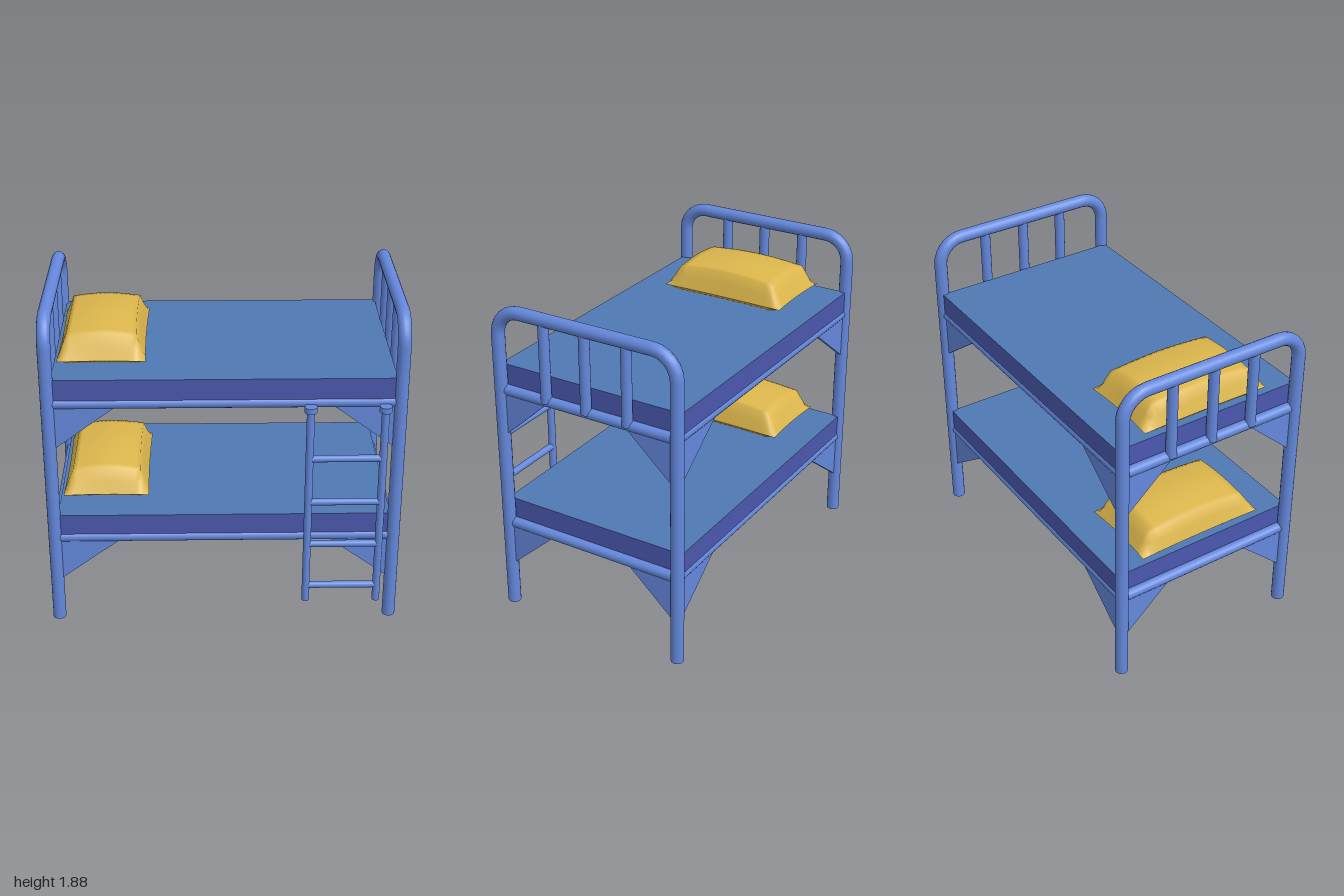
import * as THREE from 'three';
import { mergeGeometries } from 'three/addons/utils/BufferGeometryUtils.js';

const mat = (name, color, side = THREE.FrontSide) => {
  const m = new THREE.MeshStandardMaterial({ color, side });
  m.name = name;
  return m;
};

export function createModel() {
  const steel = mat('frameBlue', 0x6488dc);
  const cover = mat('mattressTopBlue', 0x5078b4);
  const border = mat('mattressSideIndigo', 0x4a58ae);
  const cotton = mat('pillowYellow', 0xdcb64c);

  const root = new THREE.Group();
  root.name = 'bunkBed';
  const V = (x, y, z) => new THREE.Vector3(x, y, z);
  const add = (parent, name, geometry, material) => {
    const mesh = new THREE.Mesh(geometry, material);
    mesh.name = name;
    parent.add(mesh);
    return mesh;
  };
  const group = (name) => {
    const g = new THREE.Group();
    g.name = name;
    root.add(g);
    return g;
  };
  // Round bar between two points
  const rod = (parent, name, a, b, r) => {
    const dir = b.clone().sub(a);
    const mesh = add(parent, name, new THREE.CylinderGeometry(r, r, dir.length(), 16), steel);
    mesh.position.copy(a).add(b).multiplyScalar(0.5);
    mesh.quaternion.setFromUnitVectors(V(0, 1, 0), dir.normalize());
    return mesh;
  };

  const X = 0.96, ZF = 0.537, ZB = -0.583, POST = 0.0375;
  const TOP = 1.845, BEND = 0.145;
  const decks = [0.533, 1.37];

  // Bent end frames with upright bars
  for (const sx of [-1, 1]) {
    const end = group(sx < 0 ? 'headFrame' : 'footFrame');
    const x = sx * X;
    for (const [z, s] of [[ZF, 1], [ZB, -1]]) {
      rod(end, 'post', V(x, 0, z), V(x, TOP - BEND, z), POST);
      const bend = add(end, 'cornerBend',
        new THREE.TorusGeometry(BEND, POST, 16, 6, Math.PI / 2).rotateY(-s * Math.PI / 2), steel);
      bend.position.set(x, TOP - BEND, z - s * BEND);
    }
    rod(end, 'topBar', V(x, TOP, ZF - BEND), V(x, TOP, ZB + BEND), POST);
    for (const z of [0.235, -0.022, -0.28]) {
      rod(end, 'uprightBar', V(x, decks[1], z), V(x, TOP, z), 0.03);
    }
  }

  // Triangular corner plate running along x or z
  const gusset = (parent, x, y, z, run, alongZ) => {
    const shape = new THREE.Shape([
      new THREE.Vector2(0, 0), new THREE.Vector2(run, 0), new THREE.Vector2(0, -0.29)]);
    const g = new THREE.ExtrudeGeometry(shape, { depth: 0.02, bevelEnabled: false });
    g.translate(0, 0, -0.01);
    if (alongZ) g.rotateY(-Math.PI / 2);
    add(parent, 'gusset', g, steel).position.set(x, y, z);
  };

  // Pillow height profile: steep rim, gently domed middle
  const puff = (u) => {
    const t = 1 - Math.abs(u);
    return t < 0.2 ? 0.85 * t / 0.2 : 0.85 + 0.15 * Math.sin(Math.PI / 2 * (t - 0.2) / 0.8);
  };
  const pillowSheet = (upper) => {
    const g = new THREE.PlaneGeometry(2, 2, 20, 20).rotateX(upper ? -Math.PI / 2 : Math.PI / 2);
    const p = g.attributes.position;
    for (let i = 0; i < p.count; i++) {
      const u = p.getX(i), v = p.getZ(i);
      const h = puff(u) * puff(v);
      const y = upper ? 0.025 + 0.16 * h : 0.025 * (1 - Math.min(1, h * 3));
      p.setXYZ(i, 0.245 * u * (1 - 0.03 * (1 - v * v)), y, 0.39 * v * (1 - 0.03 * (1 - u * u)));
    }
    g.computeVertexNormals();
    return g;
  };
  const pillowGeometry = mergeGeometries([pillowSheet(true), pillowSheet(false)]);

  // Two decks: rails, corner plates, mattress and pillow
  decks.forEach((y, i) => {
    const deck = group(i ? 'upperBunk' : 'lowerBunk');
    for (const z of [ZF - 0.008, ZB + 0.008]) {
      rod(deck, 'sideRail', V(-0.94, y, z), V(0.94, y, z), 0.03);
    }
    for (const sx of [-1, 1]) {
      rod(deck, 'endRail', V(sx * 0.95, y, ZF - 0.025), V(sx * 0.95, y, ZB + 0.025), 0.03);
      for (const [z, s] of [[ZF, 1], [ZB, -1]]) {
        gusset(deck, sx * X, y, z, -sx * 0.39, false);
        gusset(deck, sx * X, y, z, -s * 0.32, true);
      }
    }
    const mattress = add(deck, 'mattress', new THREE.BoxGeometry(1.87, 0.135, 1.145),
      [border, border, cover, cover, border, border]);
    mattress.position.set(0, y + 0.0775, -0.025);
    add(deck, 'pillow', pillowGeometry, cotton).position.set(-0.673, y + 0.145, -0.027);
  });

  // Ladder on the front
  const ladder = group('ladder');
  const LZ = 0.588;
  for (const x of [0.467, 0.873]) {
    rod(ladder, 'ladderPost', V(x, 0.13, LZ), V(x, 1.35, LZ), 0.022);
    rod(ladder, 'ladderCap', V(x, 1.335, LZ), V(x, 1.368, LZ), 0.035);
  }
  for (const y of [0.23, 0.505, 0.777, 1.05]) {
    rod(ladder, 'rung', V(0.467, y, LZ), V(0.873, y, LZ), 0.02);
  }
  return root;
}
